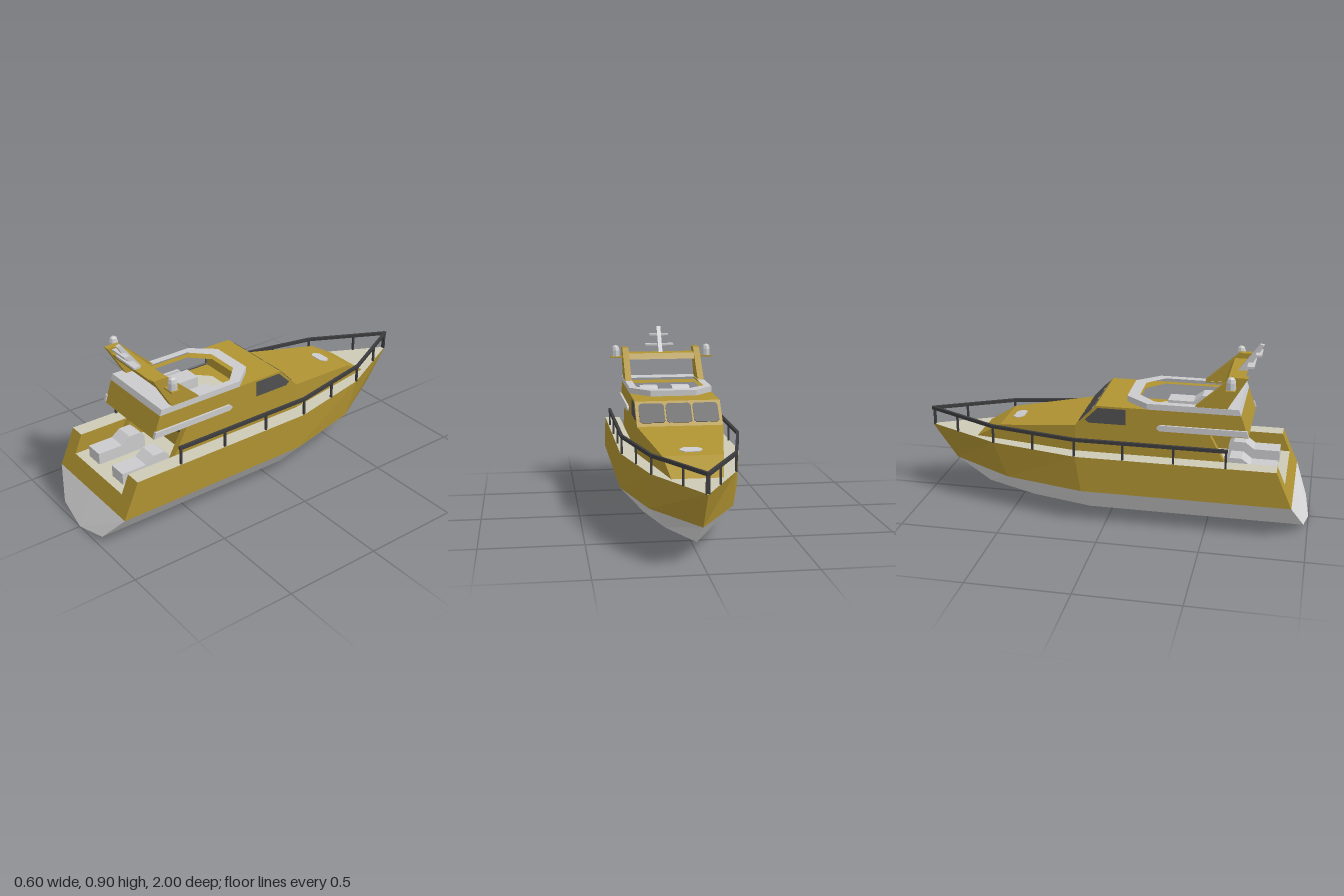
import * as THREE from 'three';

const mat = (name, color, extra = {}) => Object.assign(new THREE.MeshStandardMaterial({ color, ...extra }), { name });

export function createModel() {
  const gold = mat('gold paint', 0xb09332);
  const hullGrey = mat('pale hull', 0xdadada);
  const trim = mat('light grey trim', 0xcbcbcd);
  const cream = mat('cream deck', 0xcdcab5);
  const dark = mat('dark rail', 0x3c3c3e);
  const glass = mat('smoked glass', 0x505052);
  const boat = new THREE.Group();
  boat.name = 'motorYacht';

  const add = (name, geo, material, x = 0, y = 0, z = 0) => {
    const m = new THREE.Mesh(geo, material);
    m.name = name;
    m.position.set(x, y, z);
    boat.add(m);
    return m;
  };
  const box = (name, material, w, h, d, x, y, z) => add(name, new THREE.BoxGeometry(w, h, d), material, x, y, z);

  // Flat polygons, given for the +x side and mirrored to the other
  const mirrored = (name, polys, material) => {
    const pos = [];
    const fan = (p) => {
      for (let i = 1; i < p.length - 1; i++) pos.push(...p[0], ...p[i], ...p[i + 1]);
    };
    for (const p of polys) {
      fan(p);
      fan(p.map(([x, y, z]) => [-x, y, z]).reverse());
    }
    const g = new THREE.BufferGeometry();
    g.setAttribute('position', new THREE.Float32BufferAttribute(pos, 3));
    g.computeVertexNormals();
    return add(name, g, material);
  };
  const shapeOf = (pts) => new THREE.Shape(pts.map(([a, b]) => new THREE.Vector2(a, b)));
  // Side profile of [z, y] points, extruded from x0 to x1
  const profile = (name, pts, x0, x1, material) => {
    const g = new THREE.ExtrudeGeometry(shapeOf(pts), { depth: x1 - x0, bevelEnabled: false });
    g.rotateY(-Math.PI / 2).translate(x1, 0, 0);
    return add(name, g, material);
  };
  // Plan outline of [x, z] points, extruded from y0 to y1; the aft end leans outward below y = 0.63
  const plan = (name, pts, hole, y0, y1, material) => {
    const flip = (list) => list.map(([x, z]) => [x, -z]);
    const s = shapeOf(flip(pts));
    if (hole) s.holes.push(shapeOf(flip(hole)));
    const g = new THREE.ExtrudeGeometry(s, { depth: y1 - y0, bevelEnabled: false });
    g.rotateX(-Math.PI / 2).translate(0, y0, 0);
    const p = g.attributes.position;
    for (let i = 0; i < p.count; i++) {
      if (p.getZ(i) > 0.6) p.setZ(i, p.getZ(i) + (0.63 - p.getY(i)) * 0.35);
    }
    g.computeVertexNormals();
    return add(name, g, material);
  };

  // Hull stations from stern to bow: keel, lower chine, chine, deck edge
  const stations = [
    [[0, 0, 1], [0.18, 0.037, 0.98], [0.3, 0.172, 0.92], [0.3, 0.355, 0.84]],
    [[0, 0.003, -0.15], [0.18, 0.037, -0.1], [0.3, 0.172, -0.12], [0.3, 0.355, -0.15]],
    [[0, 0.02, -0.46], [0.11, 0.044, -0.42], [0.2, 0.172, -0.53], [0.2, 0.355, -0.6]],
    [[0, 0.05, -0.69], [0, 0.05, -0.69], [0, 0.172, -0.87], [0, 0.355, -1]],
  ];
  const bottom = [[[0, 0, 1], [0.18, 0.037, 0.98], [0.3, 0.172, 0.92], [0, 0.172, 0.92]]];
  const topsides = [
    [[0, 0.172, 0.92], [0.3, 0.172, 0.92], [0.3, 0.26, 0.88], [0, 0.26, 0.88]],
    [[0.217, 0.26, 0.88], [0.3, 0.26, 0.88], [0.3, 0.355, 0.84], [0.217, 0.355, 0.84]],
    [[0.217, 0.26, 0.44], [0.217, 0.26, 0.88], [0.217, 0.355, 0.84], [0.217, 0.355, 0.44]],
  ];
  for (let i = 0; i < 3; i++) {
    const a = stations[i], b = stations[i + 1];
    for (let j = 0; j < 3; j++) (j < 2 ? bottom : topsides).push([a[j], b[j], b[j + 1], a[j + 1]]);
  }
  mirrored('hullBottom', bottom, hullGrey);
  mirrored('hullTopsides', topsides, gold);
  mirrored('deck', [
    [[0.217, 0.355, 0.84], [0.3, 0.355, 0.84], [0.3, 0.355, -0.15], [0.217, 0.355, -0.15]],
    [[0, 0.355, -0.15], [0.3, 0.355, -0.15], [0.2, 0.355, -0.6], [0, 0.355, -1]],
    [[0, 0.26, 0.88], [0.217, 0.26, 0.88], [0.217, 0.26, 0.44], [0, 0.26, 0.44]],
  ], cream);

  // Cabin lofted along z: [z, half width, roof height, base height]
  const cabin = [
    [0.44, 0.217, 0.5, 0.26], [0.08, 0.217, 0.5, 0.26], [0.08, 0.217, 0.6, 0.26], [-0.06, 0.217, 0.6, 0.34],
    [-0.165, 0.217, 0.49, 0.34], [-0.58, 0.143, 0.432, 0.34], [-0.71, 0.12, 0.355, 0.34],
  ];
  const skin = [[[0, 0.26, 0.44], [0.217, 0.26, 0.44], [0.217, 0.5, 0.44], [0, 0.5, 0.44]]];
  for (let i = 0; i < cabin.length - 1; i++) {
    const [z0, w0, t0, b0] = cabin[i], [z1, w1, t1, b1] = cabin[i + 1];
    skin.push([[0, t0, z0], [w0, t0, z0], [w1, t1, z1], [0, t1, z1]]);
    if (z0 !== z1) skin.push([[w0, b0, z0], [w1, b1, z1], [w1, t1, z1], [w0, t0, z0]]);
  }
  mirrored('cabin', skin, gold);
  for (const [x0, x1] of [[-0.217, -0.185], [0.185, 0.217]]) {
    profile('cabinWing', [[0.43, 0.26], [0.632, 0.26], [0.5, 0.5], [0.43, 0.5]], x0, x1, gold);
  }
  profile('aftDoorPanel', [[0.43, 0.26], [0.445, 0.26], [0.485, 0.49], [0.43, 0.49]], -0.115, 0.115, gold);

  // Windows with clipped corners
  const pane = (name, w, h, c, material, x, y, z, tilt) => {
    const a = w / 2, b = h / 2;
    const s = shapeOf([[-a + c, -b], [a - c, -b], [a, -b + c], [a, b - c], [a - c, b], [-a + c, b], [-a, b - c], [-a, -b + c]]);
    const m = add(name, new THREE.ExtrudeGeometry(s, { depth: 0.004, bevelEnabled: false }), material, x, y, z);
    m.rotation.x = tilt;
    return m;
  };
  for (const s of [-1, 1]) pane('aftWindow', 0.078, 0.085, 0.008, glass, s * 0.0585, 0.4225, 0.473, 0.172);
  for (const x of [-0.137, 0, 0.137]) {
    pane('windshieldPane', 0.128, 0.115, 0.012, glass, x, 0.546, -0.1115, -Math.PI / 2 - Math.atan2(0.105, 0.11) + Math.PI / 2 - Math.PI / 2 - 0.048);
  }
  pane('foredeckHatch', 0.105, 0.058, 0.02, trim, 0, 0.4425, -0.51, -Math.PI / 2 - 0.139);
  for (const x of [-0.219, 0.215]) {
    profile('sideWindow', [[0.09, 0.51], [0.09, 0.59], [-0.05, 0.59], [-0.115, 0.525], [-0.095, 0.51]], x, x + 0.004, glass);
  }

  // Flybridge: gold surround, grey coaming and liner, cream floor
  const octagon = (w, nose, zNose, zSide, zAft) =>
    [[-nose, zNose], [nose, zNose], [w, zSide], [w, zAft], [-w, zAft], [-w, zSide]];
  const well = octagon(0.183, 0.092, 0.135, 0.225, 0.545);
  const innerWell = octagon(0.18, 0.09, 0.139, 0.227, 0.541);
  const rect = [[-0.217, 0.08], [0.217, 0.08], [0.217, 0.643], [-0.217, 0.643]];
  plan('flybridgeSurround', rect, well, 0.495, 0.6, gold);
  plan('flybridgeUnderside', [[-0.217, 0.4], [0.217, 0.4], [0.217, 0.643], [-0.217, 0.643]], null, 0.488, 0.496, gold);
  plan('flybridgeCoaming', octagon(0.218, 0.12, 0.08, 0.195, 0.643), well, 0.6, 0.63, trim);
  plan('flybridgeLiner', well, innerWell, 0.496, 0.63, trim);
  plan('flybridgeFloor', well, null, 0.494, 0.503, cream);
  for (const s of [-1, 1]) {
    const x = s > 0 ? 0.212 : -0.228;
    profile('sideFin', [[0.695, 0.495], [0.685, 0.525], [0.26, 0.525], [0.247, 0.515], [0.247, 0.505], [0.26, 0.495]], x, x + 0.016, trim);
  }

  // Loungers: the cockpit pair rises forward, the flybridge pair rises aft
  const lounger = (x, y, zLow, dir) => {
    const pts = [[0, 0], [0, 0.06], [0.13, 0.06], [0.175, 0.094], [0.235, 0.094], [0.26, 0.07], [0.26, 0]]
      .map(([d, h]) => [zLow + dir * d, y + h]);
    profile('lounger', pts, x - 0.048, x + 0.048, trim);
  };
  for (const s of [-1, 1]) {
    lounger(s * 0.108, 0.26, 0.835, -1);
    lounger(s * 0.088, 0.503, 0.26, 1);
  }

  // Radar arch with side platforms and domes
  const dome = [[0, 0], [0.023, 0], [0.023, 0.035], [0.018, 0.054], [0.008, 0.061], [0, 0.061]]
    .map(([r, h]) => new THREE.Vector2(r, h));
  const domeGeo = new THREE.LatheGeometry(dome, 8).toNonIndexed();
  domeGeo.computeVertexNormals();
  for (const s of [-1, 1]) {
    const x = s > 0 ? 0.183 : -0.217;
    profile('archLeg', [[0.58, 0.62], [0.68, 0.79], [0.605, 0.79], [0.43, 0.63], [0.43, 0.62]], x, x + 0.034, gold);
    box('domePlatform', gold, 0.115, 0.008, 0.045, s * 0.2275, 0.741, 0.603);
    add('radarDome', domeGeo, trim, s * 0.256, 0.745, 0.603);
  }
  profile('archBeam', [[0.643, 0.73], [0.66, 0.762], [0.578, 0.762], [0.56, 0.73]], -0.19, 0.19, gold);

  // Raked mast with two crossbars
  profile('mast', [[0.61, 0.757], [0.655, 0.757], [0.735, 0.895], [0.715, 0.9]], -0.011, 0.011, trim);
  box('lowerCrossbar', trim, 0.158, 0.01, 0.035, 0, 0.8, 0.678);
  box('upperCrossbar', trim, 0.108, 0.01, 0.03, 0, 0.853, 0.712);

  // Guard rail and stanchions on both sides
  const path = [[0.293, 0.6], [0.293, -0.155], [0.197, -0.605], [0, -0.993]];
  const railX = (z) => {
    const i = z > -0.155 ? 0 : z > -0.605 ? 1 : 2;
    const [xa, za] = path[i], [xb, zb] = path[i + 1];
    return xa + ((xb - xa) * (z - za)) / (zb - za);
  };
  for (const s of [-1, 1]) {
    for (let i = 0; i < 3; i++) {
      const [xa, za] = path[i], [xb, zb] = path[i + 1];
      const bar = box('guardRail', dark, 0.014, 0.017, Math.hypot(xb - xa, zb - za) + 0.006, s * (xa + xb) / 2, 0.443, (za + zb) / 2);
      bar.rotation.y = s * Math.atan2(xa - xb, za - zb);
    }
    for (const z of [0.595, 0.34, 0.09, -0.155, -0.38, -0.6, -0.83, -0.985]) {
      box('stanchion', dark, 0.01, 0.085, 0.01, s * railX(z), 0.395, z);
    }
  }
  return boat;
}
